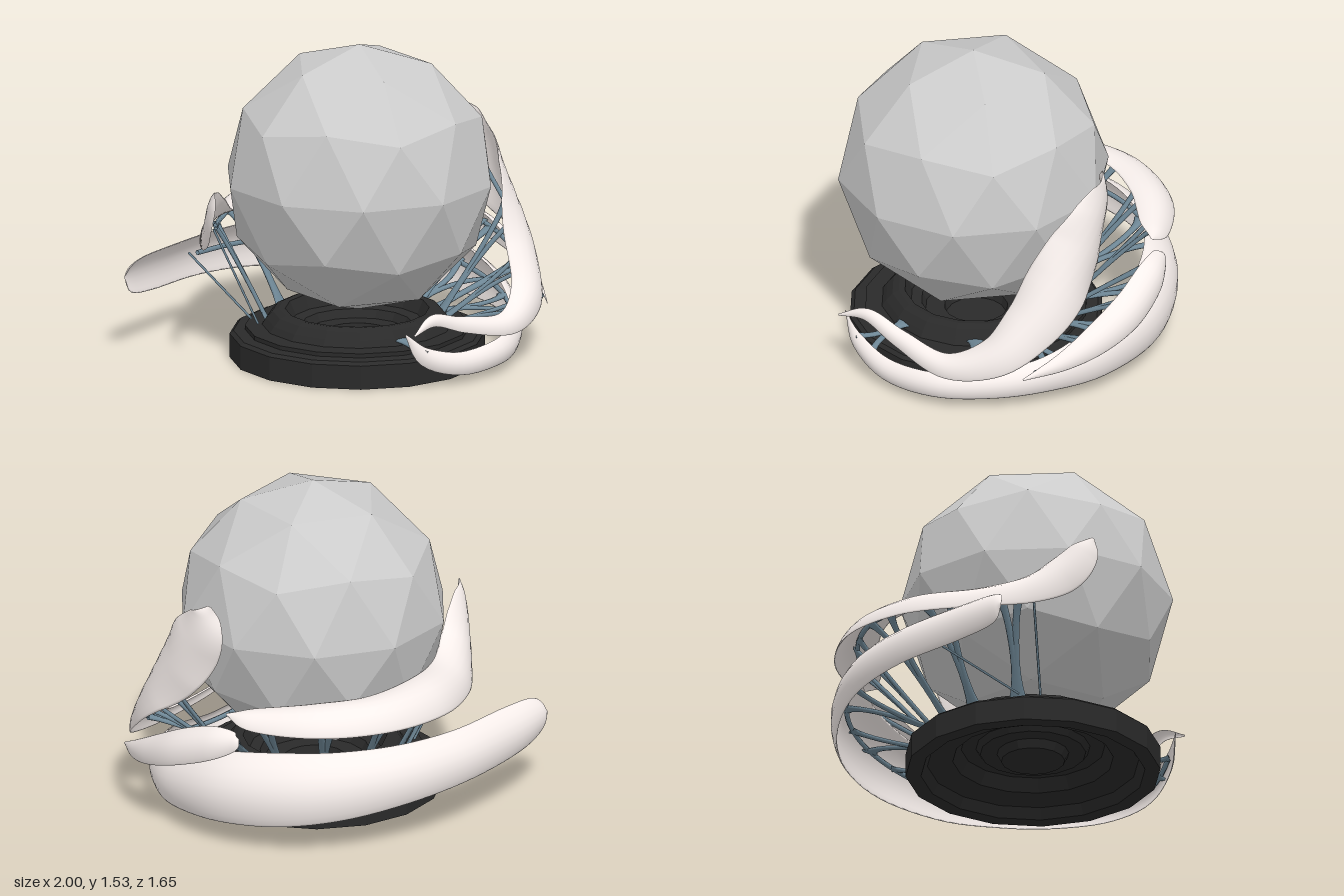
import * as THREE from 'three';

const CX = 0.1, CZ = 0.13; // vertical axis shared by the base and the petals
const UP = new THREE.Vector3(0, 1, 0);

const material = (color, flatShading = false) =>
  new THREE.MeshStandardMaterial({ color, flatShading, side: THREE.DoubleSide });
const WHITE = material(0xf6eeeb);
const STEEL = material(0x6f8897);
const BLACK = material(0x2a2a2a, true);
const GREY = material(0xcccccc, true);

function addMesh(parent, name, geometry, mat) {
  const mesh = new THREE.Mesh(geometry, mat);
  mesh.name = name;
  parent.add(mesh);
  return mesh;
}

const radialAt = (p) => new THREE.Vector3(p.x - CX, 0, p.z - CZ).normalize();

// Each row: x, y, z, half width, lean of the upper edge (degrees, negative = inward)
const PETALS = {
  lowerPetal: {
    struts: [0.08, 0.38, 0.47, 0.56, 0.66], rib: [0.06, 0.8],
    rows: [
      [0.31, 0.28, 0.79, 0.004, 0], [0.41, 0.16, 0.75, 0.045, -10], [0.59, 0.10, 0.64, 0.055, -15],
      [0.78, 0.11, 0.44, 0.06, -15], [0.85, 0.125, 0.18, 0.068, -15], [0.85, 0.155, -0.08, 0.085, -15],
      [0.78, 0.21, -0.34, 0.125, -18], [0.58, 0.275, -0.595, 0.165, -20], [0.3, 0.31, -0.735, 0.175, -22],
      [0, 0.335, -0.76, 0.162, -22], [-0.32, 0.36, -0.665, 0.14, -22], [-0.6, 0.368, -0.45, 0.125, -22],
      [-0.84, 0.37, -0.15, 0.115, -20], [-0.96, 0.375, 0.02, 0.085, -15], [-0.995, 0.375, 0.06, 0.01, -15],
    ],
  },
  sidePetal: {
    struts: [0.36, 0.48, 0.6], rib: [0.3, 0.72],
    rows: [
      [0.35, 0.285, 0.83, 0.004, -20], [0.45, 0.33, 0.71, 0.03, -30], [0.6, 0.275, 0.58, 0.043, -35],
      [0.81, 0.235, 0.4, 0.06, -40], [0.91, 0.32, 0.18, 0.1, -38], [0.895, 0.47, 0, 0.135, -32],
      [0.84, 0.63, -0.14, 0.16, -22], [0.75, 0.78, -0.26, 0.17, -8], [0.67, 0.92, -0.34, 0.145, 2],
      [0.63, 1.03, -0.38, 0.088, 5], [0.605, 1.105, -0.39, 0.008, 5],
    ],
  },
  middlePetal: {
    struts: [0.3, 0.55, 0.8], rib: [0.05, 0.9],
    rows: [
      [1.0, 0.23, 0.055, 0.004, -20], [0.96, 0.29, -0.15, 0.045, -25], [0.89, 0.36, -0.33, 0.075, -30],
      [0.78, 0.44, -0.5, 0.09, -30], [0.62, 0.51, -0.63, 0.085, -30], [0.5, 0.54, -0.69, 0.05, -30],
      [0.47, 0.55, -0.7, 0.005, -30],
    ],
  },
  upperPetal: {
    struts: [0.12, 0.24, 0.36, 0.48, 0.62], rib: [0.08, 0.66],
    rows: [
      [0.53, 0.66, -0.64, 0.004, -62], [0.4, 0.655, -0.68, 0.075, -65], [0.1, 0.667, -0.715, 0.115, -66],
      [-0.2, 0.665, -0.625, 0.12, -64], [-0.43, 0.65, -0.38, 0.125, -60], [-0.55, 0.625, -0.08, 0.115, -52],
      [-0.585, 0.65, 0.16, 0.12, -35], [-0.59, 0.72, 0.32, 0.12, -18], [-0.59, 0.82, 0.42, 0.08, -8],
      [-0.585, 0.89, 0.465, 0.008, 0],
    ],
  },
};

// Sweeps a closed section along a path; frame(t, p, tangent) gives the section as angle -> point
function sweep(path, rings, sides, frame) {
  const pos = [], index = [];
  for (let i = 0; i <= rings; i++) {
    const t = i / rings;
    const section = frame(t, path.getPoint(t), path.getTangent(t));
    for (let j = 0; j < sides; j++) {
      const v = section((j / sides) * Math.PI * 2);
      pos.push(v.x, v.y, v.z);
      if (i < rings) {
        const k = (j + 1) % sides, r = i * sides, n = r + sides;
        index.push(r + j, n + j, n + k, r + j, n + k, r + k);
      }
    }
  }
  const g = new THREE.BufferGeometry();
  g.setAttribute('position', new THREE.Float32BufferAttribute(pos, 3));
  g.setIndex(index);
  g.computeVertexNormals();
  return g;
}

// Curved leaf with a crescent section, hollow towards the orb
function leafGeometry(path, shape) {
  return sweep(path, 72, 20, (t, p, tangent) => {
    const radial = radialAt(p), s = shape.getPoint(t), half = Math.max(s.x, 0.003);
    const across = UP.clone().multiplyScalar(Math.cos(s.y)).addScaledVector(radial, Math.sin(s.y));
    across.addScaledVector(tangent, -across.dot(tangent)).normalize();
    const out = tangent.clone().cross(across);
    if (out.dot(radial) < 0) out.negate();
    return (a) => {
      const sin = Math.sin(a), depth = half * (0.4 * sin * sin - 0.2 + 0.1 * sin);
      return p.clone().addScaledVector(across, half * Math.cos(a)).addScaledVector(out, depth);
    };
  });
}

// Flat blade that flares at both ends
function bladeGeometry(path) {
  return sweep(path, 12, 8, (t, p, tangent) => {
    const across = UP.clone().cross(radialAt(p)).normalize();
    across.addScaledVector(tangent, -across.dot(tangent)).normalize();
    const out = tangent.clone().cross(across), half = 0.017 + 0.025 * (2 * t - 1) ** 4;
    return (a) => p.clone()
      .addScaledVector(across, half * Math.cos(a)).addScaledVector(out, 0.01 * Math.sin(a));
  });
}

// Forked strut from the base collar to two neighbouring points of a petal
function addStrut(parent, path, t) {
  const mid = path.getPoint(t), radial = radialAt(mid);
  const foot = new THREE.Vector3(CX, 0.18, CZ).addScaledVector(radial, 0.43);
  const bend = foot.clone().lerp(mid, 0.75).addScaledVector(radial, -0.02);
  for (const dt of [-0.025, 0.025]) {
    const end = path.getPoint(t + dt).addScaledVector(radial, -0.01);
    addMesh(parent, 'strut', bladeGeometry(new THREE.QuadraticBezierCurve3(foot, bend, end)), STEEL);
  }
}

export function createModel() {
  const model = new THREE.Group();
  model.name = 'orbOnPetalStand';

  // Faceted orb, one vertex pointing straight up
  const orb = new THREE.IcosahedronGeometry(0.647, 1);
  orb.rotateX(-Math.atan((1 + Math.sqrt(5)) / 2));
  orb.rotateY(Math.PI / 2);
  addMesh(model, 'orb', orb, GREY).position.set(0.11, 0.882, 0.145);

  // Stepped round base, a bowl above and recessed below
  const profile = [
    [0, 0.06], [0.15, 0.06], [0.17, 0.1], [0.25, 0.1], [0.27, 0.13], [0.34, 0.13], [0.38, 0.07],
    [0.5, 0.05], [0.53, 0], [0.603, 0], [0.603, 0.115], [0.585, 0.13], [0.53, 0.135], [0.53, 0.155],
    [0.45, 0.16], [0.43, 0.19], [0.4, 0.225], [0.37, 0.238], [0.34, 0.235], [0.31, 0.17],
    [0.26, 0.16], [0.24, 0.12], [0.15, 0.12], [0.14, 0.08], [0, 0.08],
  ].map(([r, y]) => new THREE.Vector2(r, y));
  addMesh(model, 'base', new THREE.LatheGeometry(profile, 16), BLACK).position.set(CX, 0, CZ);

  // Petals, each with a rib on its inner face and its struts
  for (const [name, { rows, struts, rib }] of Object.entries(PETALS)) {
    const group = new THREE.Group();
    group.name = name;
    model.add(group);
    const spline = (points) => new THREE.CatmullRomCurve3(points, false, 'catmullrom');
    const path = spline(rows.map((r) => new THREE.Vector3(r[0], r[1], r[2])));
    const shape = spline(rows.map((r) => new THREE.Vector3(r[3], THREE.MathUtils.degToRad(r[4]), 0)));
    addMesh(group, 'leaf', leafGeometry(path, shape), WHITE);

    const ribPoints = [];
    for (let i = 0; i <= 20; i++) {
      const p = path.getPoint(THREE.MathUtils.lerp(rib[0], rib[1], i / 20));
      ribPoints.push(p.addScaledVector(radialAt(p), -0.015));
    }
    addMesh(group, 'rib', new THREE.TubeGeometry(spline(ribPoints), 60, 0.012, 6), STEEL);
    struts.forEach((t) => addStrut(group, path, t));
  }

  // Thin stays bracing the two free ends on the right
  const stays = [[[-0.4, 0.18, 0.1], [-0.68, 0.38, -0.34]], [[-0.37, 0.18, 0.2], [-0.58, 0.64, 0.18]]];
  for (const ends of stays) {
    const [a, b] = ends.map((p) => new THREE.Vector3(...p));
    addMesh(model, 'stay', new THREE.TubeGeometry(new THREE.LineCurve3(a, b), 1, 0.006, 6), STEEL);
  }
  return model;
}
